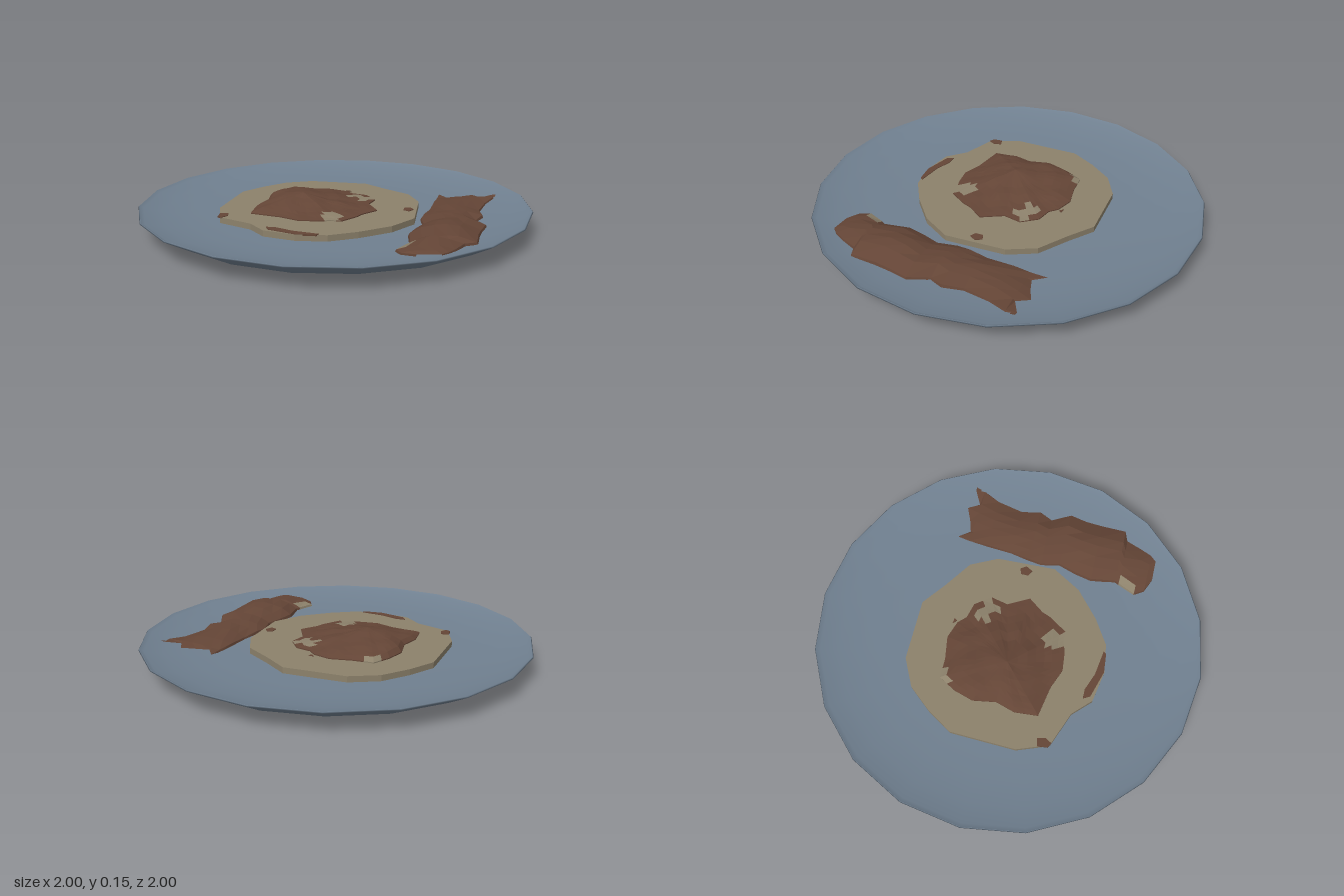
import * as THREE from 'three';

const plateBlue = new THREE.MeshStandardMaterial({ color: 0x708090 });
plateBlue.name = 'plateBlue';
const breadTan = new THREE.MeshStandardMaterial({ color: 0x8c816b });
breadTan.name = 'breadTan';
const meatBrown = new THREE.MeshStandardMaterial({ color: 0x644536 });
meatBrown.name = 'meatBrown';
for (const m of [breadTan, meatBrown]) m.flatShading = true;

// Height of the plate's shallow inner surface at radius r
const floorY = (r) => 0.05 + 0.056 * Math.pow(r, 6);
const BREAD_TOP = 0.082;

function addMesh(group, name, geometry, material) {
  const mesh = new THREE.Mesh(geometry, material);
  mesh.name = name;
  group.add(mesh);
  return mesh;
}

function lathe(points) {
  return new THREE.LatheGeometry(points.map(([r, y]) => new THREE.Vector2(r, y)), 20);
}

// Horizontal slab with an outline in x, z and its top at y = top
function slab(outline, top, depth) {
  const shape = new THREE.Shape(outline.map(([x, z]) => new THREE.Vector2(x, z)));
  const geo = new THREE.ExtrudeGeometry(shape, { depth, bevelEnabled: false });
  return geo.rotateX(Math.PI / 2).translate(0, top, 0);
}

// Skin between rows of points, keeping the cells whose centre passes the test
function skin(rows, keep) {
  const pos = [];
  for (let i = 0; i < rows.length - 1; i++) {
    for (let j = 0; j < rows[i].length - 1; j++) {
      const a = rows[i][j], b = rows[i + 1][j], c = rows[i + 1][j + 1], d = rows[i][j + 1];
      const x = (a[0] + b[0] + c[0] + d[0]) / 4;
      const z = (a[2] + b[2] + c[2] + d[2]) / 4;
      if (keep(x, z)) pos.push(...a, ...b, ...c, ...a, ...c, ...d);
    }
  }
  const geo = new THREE.BufferGeometry();
  geo.setAttribute('position', new THREE.Float32BufferAttribute(pos, 3));
  geo.computeVertexNormals();
  return geo;
}

// Skin split into brown meat and tan patches given as circles [x, z, radius]
function addMeat(group, name, rows, patches) {
  const tan = (x, z) => patches.some(([px, pz, r]) => Math.hypot(x - px, z - pz) < r);
  addMesh(group, name, skin(rows, (x, z) => !tan(x, z)), meatBrown);
  addMesh(group, name + 'Patches', skin(rows, tan), breadTan);
}

const bump = (x, z) => Math.sin(31 * x + 9 * z) * Math.sin(27 * z - 11 * x + 1);

function createPlate() {
  const plate = new THREE.Group();
  plate.name = 'plate';
  // Underside with its foot ring
  addMesh(plate, 'plateUnderside', lathe([
    [0, 0.028], [0.68, 0.028], [0.745, 0.018], [0.755, 0], [0.78, 0],
    [0.785, 0.016], [0.88, 0.037], [0.945, 0.073], [1, 0.104], [0.995, 0.109],
  ]), plateBlue);
  // Dished upper surface
  const radii = [0.995, 0.975, 0.88, 0.75, 0.6, 0.4, 0];
  addMesh(plate, 'plateTop', lathe(radii.map((r, i) => [r, i ? floorY(r) : 0.109])), plateBlue);
  return plate;
}

function createBread() {
  const bread = new THREE.Group();
  bread.name = 'bread';
  addMesh(bread, 'flatbread', slab([
    [-0.24, -0.49], [0.08, -0.49], [0.2, -0.4], [0.35, -0.3], [0.42, -0.16], [0.43, 0.15],
    [0.34, 0.3], [0.2, 0.42], [0.07, 0.5], [-0.08, 0.52], [-0.24, 0.49], [-0.33, 0.4],
    [-0.51, 0.33], [-0.57, 0.17], [-0.56, -0.17], [-0.48, -0.3], [-0.38, -0.42],
  ], BREAD_TOP, 0.032), breadTan);
  // Thin browned spots on the bread
  const spots = [
    [[-0.24, 0.44], [-0.19, 0.44], [-0.1, 0.475], [0.03, 0.495], [0.02, 0.51], [-0.08, 0.518], [-0.22, 0.475]],
    [[-0.53, 0.27], [-0.49, 0.26], [-0.48, 0.3], [-0.5, 0.335], [-0.525, 0.32]],
    [[0.36, -0.02], [0.39, -0.03], [0.41, 0], [0.39, 0.035], [0.36, 0.02]],
    [[0, -0.305], [0.03, -0.3], [0.02, -0.285]],
  ];
  for (const spot of spots) addMesh(bread, 'brownedSpot', slab(spot, BREAD_TOP + 0.003, 0.008), meatBrown);
  return bread;
}

function createMound() {
  const mound = new THREE.Group();
  mound.name = 'meatMound';
  const cx = -0.16, cz = 0.03;
  const outline = [
    [-0.2, -0.29], [-0.08, -0.31], [0.01, -0.28], [0.05, -0.24], [0.13, -0.22], [0.19, -0.14],
    [0.17, -0.05], [0.23, 0.06], [0.17, 0.14], [0.15, 0.19], [0.09, 0.28], [0.04, 0.28],
    [-0.02, 0.3], [-0.12, 0.31], [-0.22, 0.27], [-0.38, 0.24], [-0.39, 0.12], [-0.36, 0.02],
    [-0.38, -0.1], [-0.35, -0.2], [-0.3, -0.29],
  ];
  // Double the outline points, then close the ring
  const ring = outline.flatMap((p, i) => {
    const q = outline[(i + 1) % outline.length];
    return [p, [(p[0] + q[0]) / 2, (p[1] + q[1]) / 2]];
  });
  ring.push(ring[0]);
  // Rings shrink towards the peak; the left slope is longer than the right
  const rows = [1, 1, 0.9, 0.78, 0.65, 0.5, 0.35, 0.18, 0].map((s, i) => ring.map(([ox, oz]) => {
    const x = cx + (ox - cx) * s, z = cz + (oz - cz) * s;
    if (i === 0) return [x, BREAD_TOP - 0.004, z];
    const angle = Math.atan2(oz - cz, ox - cx);
    const power = 1 + 0.5 * Math.cos(angle) + 0.25 * Math.sin(angle);
    const rise = 0.064 * Math.pow(1 - s, power);
    return [x, BREAD_TOP + 0.005 + rise + (s ? 0.005 * bump(x, z) * Math.min(1, 4 * (1 - s)) : 0), z];
  }));
  addMeat(mound, 'mound', rows, [[0.08, -0.17, 0.045], [0.12, -0.13, 0.045], [0.03, 0.24, 0.055], [-0.3, -0.27, 0.045]]);
  return mound;
}

function createStrip() {
  const strip = new THREE.Group();
  strip.name = 'meatStrip';
  // Cross-sections: z, left edge, right edge, ridge height
  const sections = [
    [-0.33, 0.5, 0.81, 0.012], [-0.24, 0.49, 0.77, 0.025], [-0.1, 0.48, 0.74, 0.032],
    [0, 0.46, 0.76, 0.035], [0.07, 0.45, 0.73, 0.038], [0.17, 0.47, 0.78, 0.045],
    [0.26, 0.44, 0.76, 0.055], [0.35, 0.42, 0.75, 0.062], [0.48, 0.44, 0.745, 0.045],
    [0.5, 0.43, 0.69, 0.042], [0.59, 0.39, 0.655, 0.026], [0.64, 0.42, 0.63, 0.014],
    [0.67, 0.49, 0.6, 0.004],
  ];
  const across = [0, 0.02, 0.18, 0.36, 0.54, 0.72, 0.98, 1];
  const rows = sections.map(([z, x0, x1, h]) => across.map((t, j) => {
    const x = x0 + (x1 - x0) * t;
    const base = floorY(Math.hypot(x, z));
    if (j === 0 || j === across.length - 1) return [x, base - 0.002, z];
    const ridge = h * Math.pow(Math.sin(Math.PI * t), 0.8);
    return [x, base + 0.008 + ridge + 0.004 * bump(x, z), z];
  }));
  // Ragged back end with three torn tips
  const ends = [-0.34, -0.41, -0.35, -0.37, -0.4, -0.34, -0.38, -0.38];
  const order = [1, 1, 2, 3, 4, 5, 6, 7];
  rows.unshift(order.map((j) => {
    const x = [0.5, 0.51, 0.555, 0.62, 0.69, 0.725, 0.8, 0.82][j];
    return [x, floorY(Math.hypot(x, ends[j])) + 0.007, ends[j]];
  }));
  addMeat(strip, 'strip', rows, [[0.42, 0.55, 0.045]]);
  return strip;
}

export function createModel() {
  const model = new THREE.Group();
  model.name = 'plateOfFood';
  model.add(createPlate(), createBread(), createMound(), createStrip());
  return model;
}
